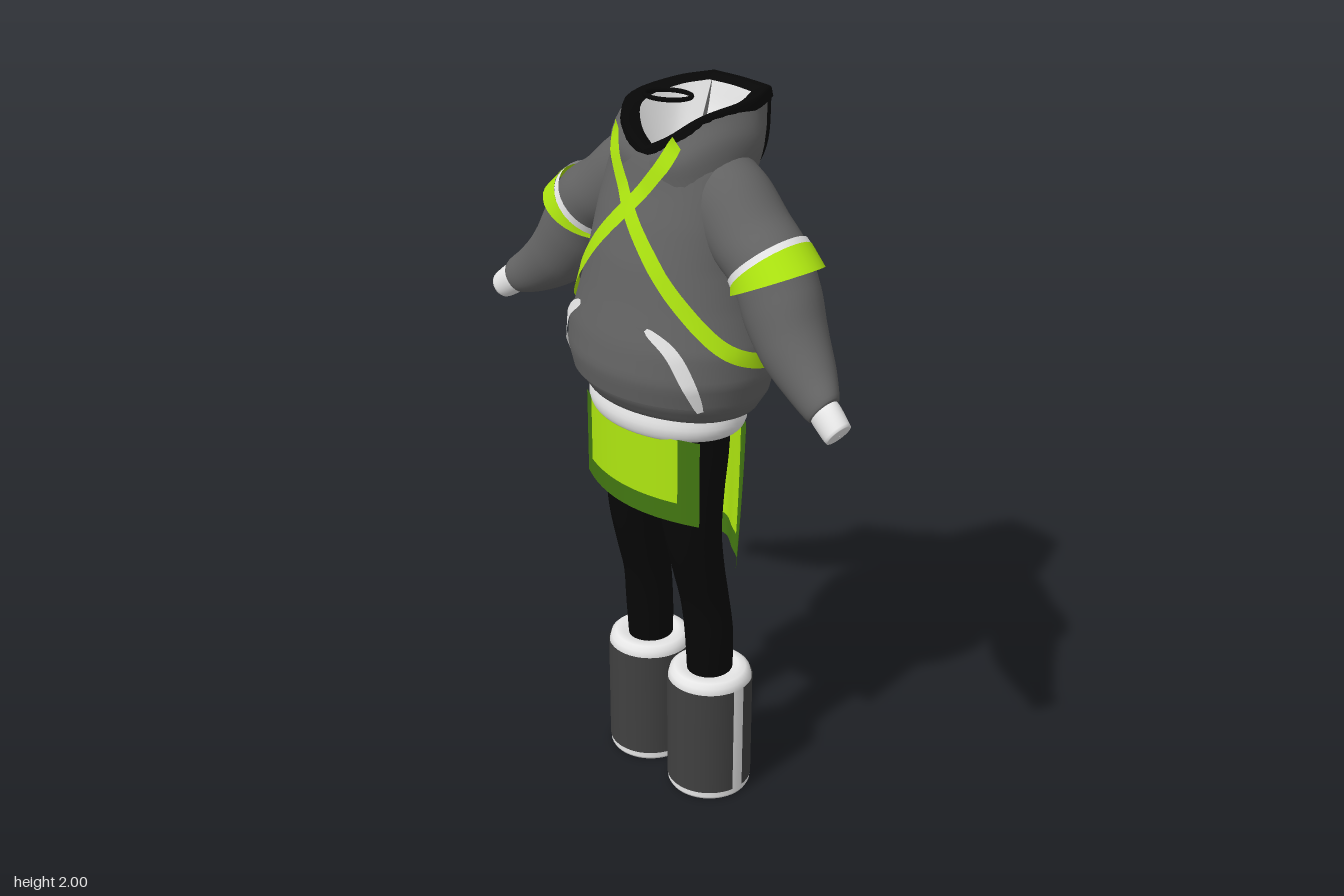
import * as THREE from 'three';

const V = (x, y, z) => new THREE.Vector3(x, y, z);
const mat = (name, color) => new THREE.MeshStandardMaterial({ name, color, side: THREE.DoubleSide });

// Grid surface from f(u, v) -> Vector3; wrap joins the u ends smoothly
function surf(f, nu, nv, wrap = false) {
  const pos = [], idx = [], cols = wrap ? nu : nu + 1;
  for (let j = 0; j <= nv; j++)
    for (let i = 0; i < cols; i++) pos.push(...f(i / nu, j / nv).toArray());
  for (let j = 0; j < nv; j++)
    for (let i = 0; i < nu; i++) {
      const a = j * cols + i, b = j * cols + (i + 1) % cols;
      idx.push(a, b, a + cols, b, b + cols, a + cols);
    }
  const g = new THREE.BufferGeometry();
  g.setAttribute('position', new THREE.Float32BufferAttribute(pos, 3));
  g.setIndex(idx);
  g.computeVertexNormals();
  return g;
}

// Smooth loft through elliptical rings [centre, u axis, v axis]
function loft(rings, nv = 24, nu = 32) {
  const [c, a, b] = [0, 1, 2].map(k => new THREE.CatmullRomCurve3(rings.map(r => r[k])));
  return surf((u, v) => {
    const t = u * Math.PI * 2;
    return c.getPoint(v).addScaledVector(a.getPoint(v), Math.sin(t)).addScaledVector(b.getPoint(v), Math.cos(t));
  }, nu, nv, true);
}

// Smooth patch through rows of control points
function patch(rows, nu = 20, nv = 10) {
  const curves = rows.map(r => new THREE.CatmullRomCurve3(r));
  return surf((u, v) => new THREE.CatmullRomCurve3(curves.map(c => c.getPoint(u))).getPoint(v), nu, nv);
}

// Hoodie sections: height, half width, front z, back z
const BODY = [
  [1.195, 0.235, 0.17, -0.14], [1.208, 0.262, 0.198, -0.185], [1.25, 0.287, 0.226, -0.214],
  [1.32, 0.305, 0.24, -0.225], [1.4, 0.303, 0.23, -0.217], [1.5, 0.272, 0.207, -0.2],
  [1.6, 0.247, 0.186, -0.185], [1.7, 0.235, 0.157, -0.17], [1.78, 0.222, 0.13, -0.16],
  [1.84, 0.2, 0.115, -0.145], [1.9, 0.15, 0.095, -0.12],
];
function body(t, y, off = 0) {
  let i = 0;
  while (i < BODY.length - 2 && y > BODY[i + 1][0]) i++;
  const a = BODY[i], b = BODY[i + 1], k = THREE.MathUtils.clamp((y - a[0]) / (b[0] - a[0]), 0, 1);
  const [, w, f, r] = a.map((n, j) => n + (b[j] - n) * k);
  const c = (f + r) / 2, d = (f - r) / 2;
  return V((w + off) * Math.sin(t), y, c + (d + off) * Math.cos(t));
}

// Flat band lying on the hoodie along [angle, height] points
function band(points, side, width, off, n = 90) {
  const c = new THREE.CatmullRomCurve3(points.map(p => V(p[0] * 0.24, p[1], 0)));
  return surf((u, v) => {
    const p = c.getPoint(u), d = c.getTangent(u), w = width(u) * (v - 0.5);
    return body(side * (p.x - d.y * w) / 0.24, p.y + d.x * w, off(u));
  }, n, 2);
}

export function createModel() {
  const grey = mat('hoodie grey', 0x636363), dark = mat('boot grey', 0x404040), black = mat('black', 0x070707);
  const white = mat('white', 0xe6e6e6), lime = mat('lime', 0xaee610), green = mat('dark green', 0x427611);
  const root = new THREE.Group();
  const add = (name, geo, m, parent = root) => {
    const mesh = new THREE.Mesh(geo, m);
    mesh.name = name;
    parent.add(mesh);
    return mesh;
  };

  // Hoodie torso and ribbed hem
  add('hoodieBody', surf((u, v) => body(u * Math.PI * 2, 1.195 + v * 0.665), 56, 48, true), grey);
  add('hem', loft([[1.136, 0.2, 0.14], [1.144, 0.233, 0.168], [1.175, 0.245, 0.176], [1.215, 0.238, 0.168]]
    .map(([y, w, d]) => [V(-0.003, y, 0.021), V(w, 0, 0), V(0, 0, d)]), 10, 48), white);

  // Front pocket
  const pocketWidth = v => 0.99 - 0.2 * v - 0.32 * v * v;
  add('pocket', surf((u, v) => body((u * 2 - 1) * pocketWidth(v), 1.26 + v * 0.2, 0.008), 24, 12), grey);

  // Hood control rows from the front centre to the back corner
  const rim = [V(0, 1.868, 0.098), V(0.075, 1.908, 0.088), V(0.132, 1.955, 0.04), V(0.143, 1.975, -0.13), V(0.1, 1.982, -0.226)];
  const mid = [V(0, 1.84, 0.112), V(0.12, 1.86, 0.102), V(0.185, 1.905, 0.01), V(0.175, 1.88, -0.13), V(0.08, 1.82, -0.228)];
  const base = [V(0, 1.78, 0.122), V(0.14, 1.8, 0.09), V(0.2, 1.81, -0.02), V(0.16, 1.77, -0.12), V(0.035, 1.7, -0.166)];
  const neck = [V(0, 1.79, 0.075), V(0.05, 1.79, 0.06), V(0.075, 1.79, 0), V(0.07, 1.79, -0.06), V(0.045, 1.79, -0.1)];
  const flip = p => V(-p.x, p.y, p.z);
  const backRow = (p, bulge) => [p, V(0, p.y, p.z - bulge), flip(p)];
  // Copy of a row scaled about the hood's middle and lowered
  const resize = (row, s, drop) => row.map(p => V(p.x * s, p.y - drop, (p.z + 0.06) * s - 0.06));
  const inner = resize(rim, 0.95, 0.004);
  const trim = [resize(rim, 1.06, 0.022), resize(rim, 1.015, -0.005), resize(rim, 0.9, -0.002), resize(rim, 0.77, 0.008)];
  add('hoodBack', patch([backRow(rim[4], 0.008), backRow(mid[4], 0.01), backRow(base[4], 0.004)]), white);
  add('hoodBackLining', patch([backRow(inner[4], 0.006), backRow(V(0.08, 1.87, -0.18), 0.01), backRow(neck[4], 0.01)]), white);
  add('hoodBackTrim', patch(trim.map(r => backRow(r[4], 0.007))), black);

  // Neck opening and loose choker ring
  add('neck', new THREE.CircleGeometry(1, 32).rotateX(-Math.PI / 2).scale(0.082, 1, 0.1).translate(0, 1.795, -0.012), black);
  add('choker', new THREE.TorusGeometry(0.058, 0.006, 8, 40).rotateX(Math.PI / 2 - 0.08).translate(0, 1.988, 0.02), black);

  // Crossed straps running around to the back, loose at the ends
  const strap = [[-0.68, 1.908], [-0.35, 1.83], [0, 1.735], [0.4, 1.63], [0.75, 1.53], [1.2, 1.42], [1.57, 1.38],
    [1.95, 1.365], [2.35, 1.4], [2.75, 1.55], [3.14, 1.7], [3.4, 1.78]];
  const lift = u => 0.009 + 0.022 * Math.max(0, 1 - u * 7) + 0.007 * THREE.MathUtils.smoothstep(u, 0.6, 0.75);
  for (const s of [1, -1]) add('crossStrap', band(strap, s, () => 0.04, lift), lime);

  // Sides: built for +x and mirrored
  for (const s of [1, -1]) {
    const side = new THREE.Group();
    side.name = s > 0 ? 'leftSide' : 'rightSide';
    side.scale.x = s;
    root.add(side);

    add('hoodSide', patch([rim, mid, base]), grey, side);
    add('hoodLining', patch([inner, neck]), white, side);
    add('hoodTrim', patch(trim), black, side);
    add('hoodSeam', new THREE.TubeGeometry(new THREE.CatmullRomCurve3([rim[4], mid[4], base[4]]), 16, 0.008, 6), black, side);
    add('pocketTrim', band([[0.44, 1.46], [0.67, 1.415], [0.85, 1.335], [0.98, 1.255]], 1,
      u => 0.01 + 0.024 * Math.sqrt(Math.sin(u * 3.1)), () => 0.013, 24), white, side);

    // Sleeve: centre, radius, and direction of the outer side
    const ring = (x, y, z, r, a, rz = r) => [V(x, y, z), V(r * Math.cos(a), r * Math.sin(a), 0), V(0, 0, rz)];
    add('sleeve', loft([
      ring(0.1, 1.785, -0.03, 0.115, 1.13, 0.1), ring(0.18, 1.738, -0.03, 0.116, 1.0, 0.108), ring(0.26, 1.68, -0.022, 0.105, 0.85, 0.109),
      ring(0.335, 1.63, -0.012, 0.104, 0.78), ring(0.388, 1.545, -0.004, 0.107, 0.7, 0.1), ring(0.45, 1.46, 0.01, 0.092, 0.78, 0.088),
      ring(0.53, 1.395, 0.03, 0.07, 0.9, 0.066), ring(0.592, 1.358, 0.055, 0.05, 0.95, 0.042), ring(0.602, 1.35, 0.058, 0.025, 0.95),
    ], 48), grey, side);
    add('cuff', loft([ring(0.585, 1.362, 0.056, 0.04, 0.95, 0.034), ring(0.605, 1.35, 0.059, 0.043, 0.95, 0.036),
      ring(0.652, 1.317, 0.065, 0.037, 0.95, 0.034), ring(0.654, 1.316, 0.065, 0.001, 0.95)], 15), white, side);
    add('armbandEdge', loft([ring(0.325, 1.643, -0.012, 0.11, 0.78), ring(0.339, 1.629, -0.011, 0.112, 0.78)], 2), white, side);
    add('armband', loft([ring(0.338, 1.63, -0.011, 0.113, 0.78), ring(0.364, 1.601, -0.008, 0.125, 0.46, 0.116)], 4), lime, side);

    // Leg: height, x, z, half width, half depth
    add('leg', loft([
      [1.18, 0.1, 0.025, 0.105, 0.1], [1.06, 0.102, 0.03, 0.102, 0.095], [0.94, 0.106, 0.037, 0.092, 0.088],
      [0.82, 0.114, 0.035, 0.078, 0.078], [0.7, 0.118, 0.015, 0.069, 0.072], [0.6, 0.12, -0.006, 0.064, 0.069],
      [0.5, 0.125, -0.017, 0.067, 0.068], [0.35, 0.125, -0.023, 0.06, 0.066],
    ].map(([y, x, z, w, d]) => [V(x, y, z), V(w, 0, 0), V(0, 0, d)]), 40), black, side);

    // Boot: white shell with a dark wrap open along the outer side
    const boot = new THREE.Group();
    boot.name = 'boot';
    boot.position.set(0.127, 0, -0.021);
    side.add(boot);
    add('bootShell', new THREE.LatheGeometry([[0, 0.008], [0.108, 0.008], [0.114, 0], [0.118, 0.008], [0.118, 0.35],
      [0.113, 0.37], [0.1, 0.381], [0.08, 0.383], [0.05, 0.373]].map(p => new THREE.Vector2(...p)), 48), white, boot);
    add('bootWrap', new THREE.CylinderGeometry(0.12, 0.12, 0.331, 48, 1, true, Math.PI / 2 + 0.15, Math.PI * 2 - 0.3)
      .translate(0, 0.189, 0), dark, boot);
  }

  // Skirt panels: dark cloth with lime plates on both faces
  const front = (x, y, off) => V(x, y, 0.172 + off - 0.058 * (x / 0.225) ** 2);
  const back = (x, y, off) => {
    const k = (1.15 - y) / 0.405, w = x / 0.235;
    return V(x * (0.94 + 0.06 * k) + 0.008 * k, y,
      -0.138 + off + 0.015 * k * k + (0.085 + 0.035 * k) * w * w + 0.004 * Math.sin(x * 55) * k);
  };
  const panel = (name, f, half, y0, m, off) =>
    add(name, surf((u, v) => f((u * 2 - 1) * half, y0 + v * (1.152 - y0), off), 32, 10), m);
  panel('frontPanel', front, 0.225, 0.91, green, 0);
  panel('backPanel', back, 0.233, 0.748, green, 0);
  for (const off of [0.005, -0.005]) {
    panel('frontPanelInset', front, 0.172, 0.97, lime, off);
    panel('backPanelInset', back, 0.183, 0.812, lime, off);
  }
  return root;
}
